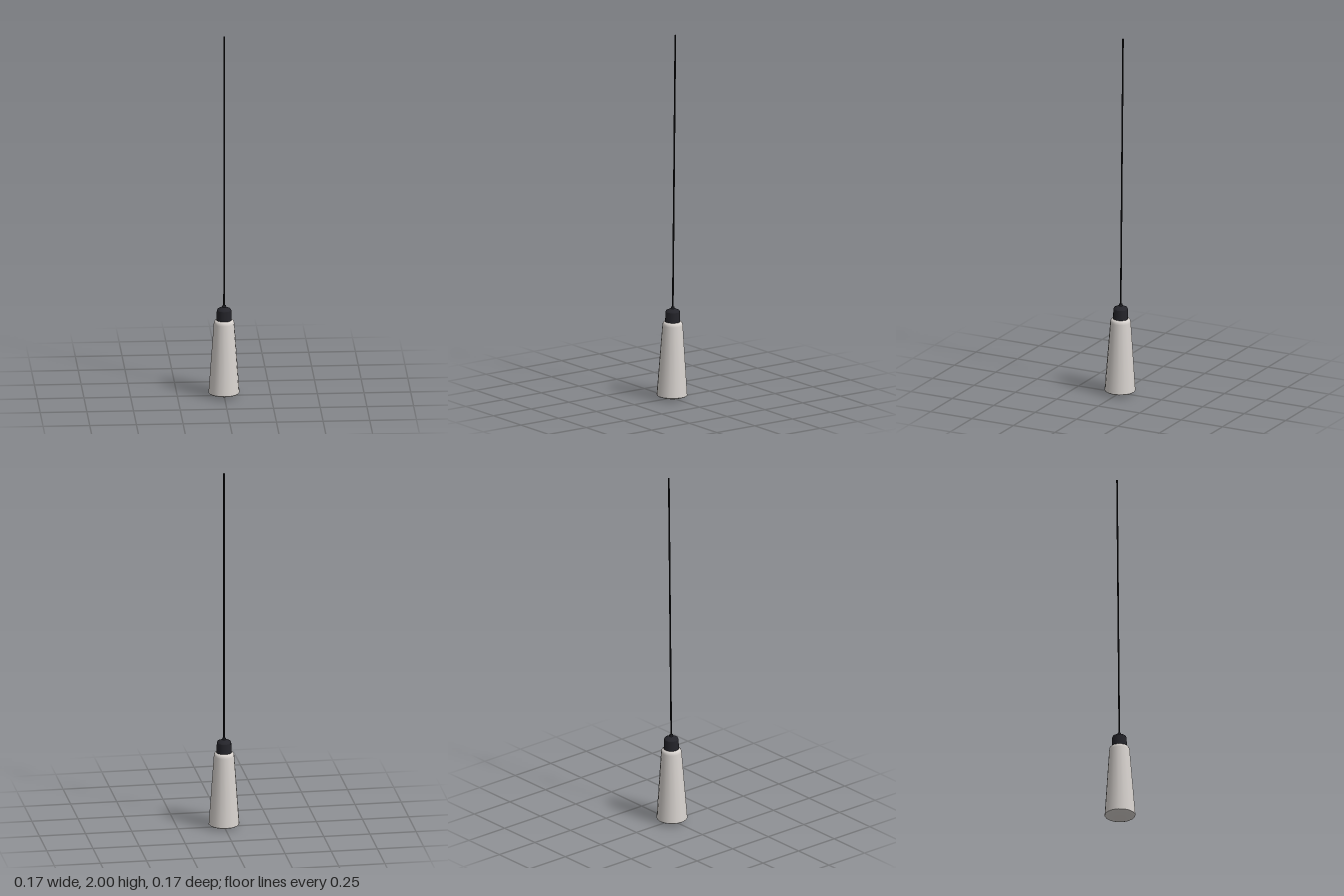
import * as THREE from 'three';

const SIDES = 16;

const material = (color) => new THREE.MeshStandardMaterial({ color });

// Turned part from [radius, height] pairs; a repeated pair gives a crisp edge
function turned(name, profile, color) {
  const points = profile.map(([r, y]) => new THREE.Vector2(r, y));
  const mesh = new THREE.Mesh(new THREE.LatheGeometry(points, SIDES), material(color));
  mesh.name = name;
  return mesh;
}

export function createModel() {
  const lamp = new THREE.Group();
  lamp.name = 'pendantLamp';

  // Long tapered shade with a softened shoulder
  lamp.add(turned('shade', [
    [0.083, 0.017], [0.0815, 0.04], [0.0555, 0.4], [0.054, 0.41],
    [0.049, 0.419], [0.04, 0.421], [0, 0.421],
  ], 0xd8d3cf));

  // Shallow domed diffuser closing the bottom
  lamp.add(turned('diffuser', [
    [0, 0], [0.03, 0.002], [0.06, 0.007], [0.078, 0.013], [0.083, 0.017],
  ], 0xd8d3cf));

  // Dark socket cap with a bevelled top
  lamp.add(turned('socketCap', [
    [0.041, 0.416], [0.041, 0.42], [0.039, 0.475], [0.039, 0.475],
    [0.035, 0.483], [0.014, 0.493], [0.014, 0.493], [0, 0.493],
  ], 0x24242a));

  // Cord grip
  lamp.add(turned('cordGrip', [
    [0.011, 0.49], [0.009, 0.503], [0.009, 0.503], [0, 0.505],
  ], 0x24242a));

  // Hanging cord
  const cord = new THREE.Mesh(new THREE.CylinderGeometry(0.0045, 0.0045, 1.5, 8), material(0x18181b));
  cord.name = 'cord';
  cord.position.y = 1.25;
  lamp.add(cord);

  // The lamp hangs very slightly off plumb
  lamp.rotation.set(-0.01, 0, -0.0015);

  const model = new THREE.Group();
  model.name = 'model';
  model.add(lamp);
  return model;
}
